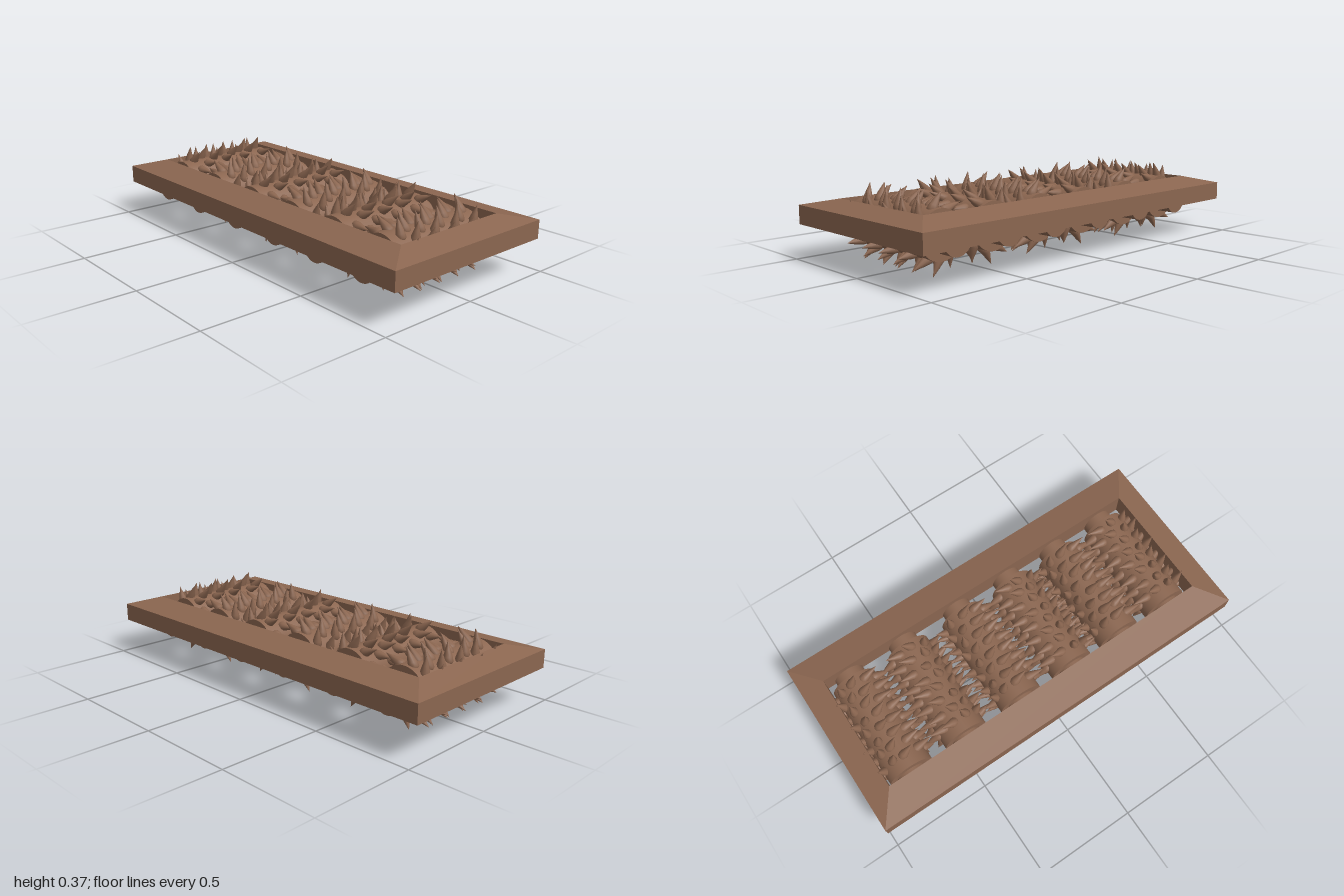
import * as THREE from 'three';
import { mergeGeometries } from 'three/addons/utils/BufferGeometryUtils.js';

const brown = new THREE.MeshStandardMaterial({ color: 0x8b6650 });
brown.name = 'brown';

const AXLE_Y = 0.183;
const MID_X = -0.015;

// small seeded generator for natural spike variation, returns -1..1
function makeRandom(seed) {
  return () => {
    seed = (seed * 16807) % 2147483647;
    return (seed / 2147483647) * 2 - 1;
  };
}

// rectangular frame: a cross-section of four loops swept round four corners
function frameGeometry() {
  const loops = [
    [0.457, 0.168, 1], // outer bottom
    [0.457, 0.257, 1], // outer top
    [0.302, 0.29, 0.88], // inner top
    [0.302, 0.168, 0.88], // inner bottom
  ];
  const corners = [[1, 1], [1, -1], [-1, -1], [-1, 1]];
  const point = (l, c) => {
    const [x, y, z] = loops[l % 4];
    const [sx, sz] = corners[c % 4];
    return [x * sx, y, z * sz];
  };
  const positions = [];
  for (let l = 0; l < 4; l++) {
    for (let c = 0; c < 4; c++) {
      const a = point(l, c), b = point(l, c + 1);
      const d = point(l + 1, c), e = point(l + 1, c + 1);
      positions.push(...a, ...b, ...e, ...a, ...e, ...d);
    }
  }
  const geometry = new THREE.BufferGeometry();
  geometry.setAttribute('position', new THREE.Float32BufferAttribute(positions, 3));
  geometry.computeVertexNormals();
  return geometry;
}

// teardrop spike, rounded at the root and pointing along +y
function spikeGeometry() {
  const profile = [
    [0, -0.005], [0.015, 0], [0.023, 0.015], [0.021, 0.034], [0.013, 0.064], [0, 0.106],
  ].map(([r, y]) => new THREE.Vector2(r, y));
  return new THREE.LatheGeometry(profile, 10);
}

// rings of slanted spikes, staggered from column to column
function spikesGeometry(lean, seed) {
  const random = makeRandom(seed);
  const base = spikeGeometry();
  const parts = [];
  const columns = 8, perRing = 10;
  for (let c = 0; c < columns; c++) {
    for (let i = 0; i < perRing; i++) {
      const angle = ((i + (c % 2) / 2 + random() * 0.1) / perRing) * Math.PI * 2;
      const spike = base.clone();
      spike.rotateZ(random() * 0.12);
      spike.rotateX(lean * (0.84 + random() * 0.06));
      spike.translate(-0.215 + c * 0.0605 + random() * 0.004, 0.094, 0);
      spike.rotateX(angle);
      parts.push(spike);
    }
  }
  return mergeGeometries(parts);
}

function makeRoller(index, z) {
  const roller = new THREE.Group();
  roller.name = 'roller' + (index + 1);
  const add = (name, geometry) => {
    const mesh = new THREE.Mesh(geometry, brown);
    mesh.name = name;
    roller.add(mesh);
  };
  const cylinder = (radius, length) =>
    new THREE.CylinderGeometry(radius, radius, length, 40).rotateZ(Math.PI / 2).translate(MID_X, 0, 0);
  add('axle', cylinder(0.076, 0.742));
  add('drum', cylinder(0.113, 0.53));
  // neighbouring rollers turn opposite ways
  add('spikes', spikesGeometry(index % 2 === 0 ? 1 : -1, 101 + index * 977));
  roller.position.set(0, AXLE_Y, z);
  return roller;
}

export function createModel() {
  const model = new THREE.Group();
  model.name = 'spikedRollerFrame';

  const frame = new THREE.Mesh(frameGeometry(), brown);
  frame.name = 'frame';
  model.add(frame);

  [-0.76, -0.454, -0.136, 0.167, 0.456, 0.746].forEach((z, i) => model.add(makeRoller(i, z)));
  return model;
}
